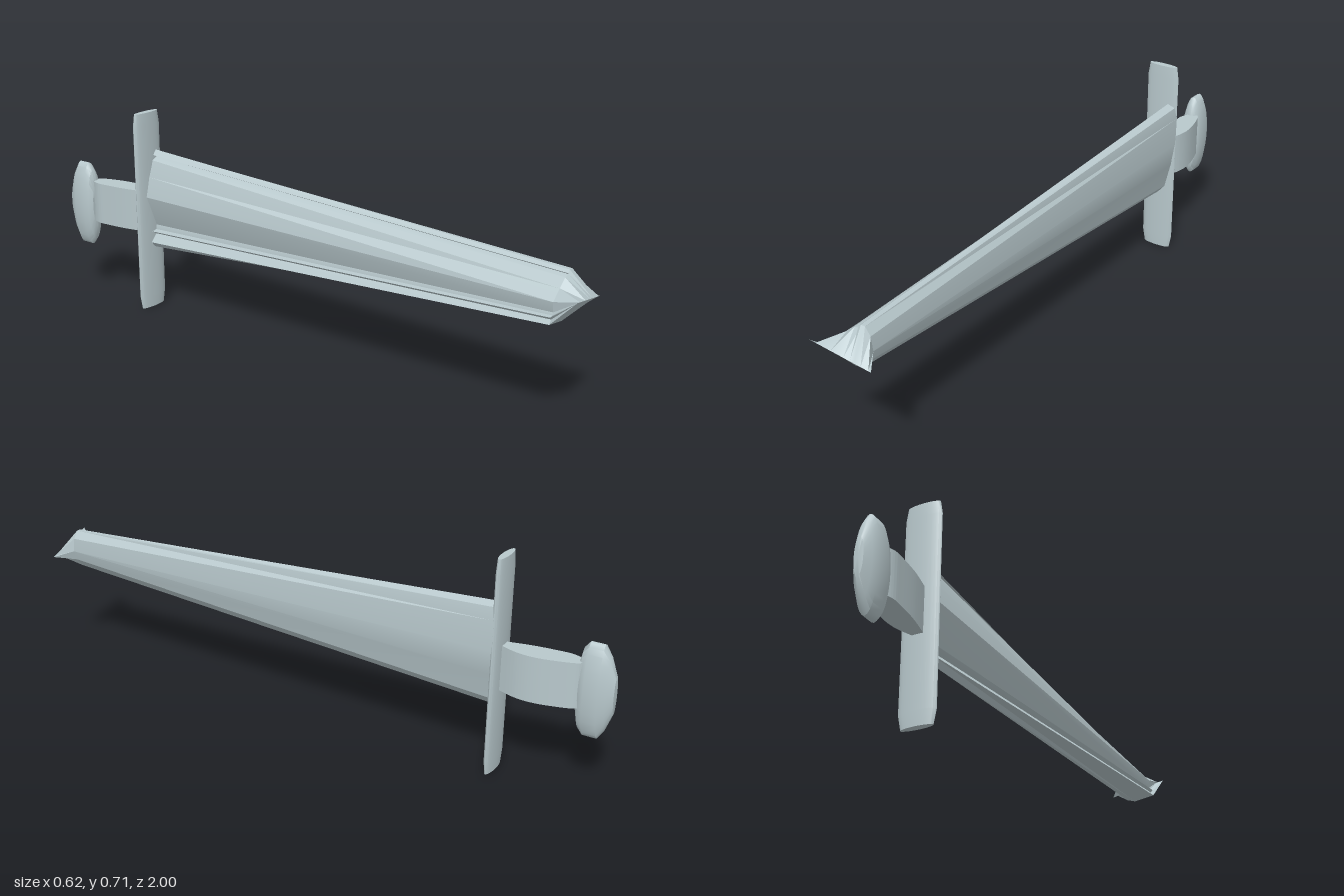
import * as THREE from 'three';
import { toCreasedNormals } from 'three/addons/utils/BufferGeometryUtils.js';

const V2 = (p) => new THREE.Vector2(p[0], p[1]);

// Open skin through matching rings of [x, y, z] points
function loft(rings) {
  const n = rings[0].length;
  const index = [];
  for (let r = 0; r < rings.length - 1; r++) {
    for (let i = 0; i < n; i++) {
      const a = r * n + i;
      const b = r * n + ((i + 1) % n);
      index.push(a, b, b + n, a, b + n, a + n);
    }
  }
  const g = new THREE.BufferGeometry();
  g.setAttribute('position', new THREE.Float32BufferAttribute(rings.flat(2), 3));
  g.setIndex(index);
  return g;
}

export function createModel() {
  const metal = new THREE.MeshStandardMaterial({ color: 0xb8c8cc, side: THREE.DoubleSide });
  metal.name = 'paleSteel';

  const model = new THREE.Group();
  model.name = 'sword';
  // Everything is built along local z, then swung about the guard
  const sword = new THREE.Group();
  sword.name = 'swordBody';
  sword.position.set(-0.18, 0, -0.66);
  sword.rotation.y = 0.22;
  model.add(sword);

  const add = (name, geometry, crease = 0.5) => {
    const mesh = new THREE.Mesh(toCreasedNormals(geometry, crease), metal);
    mesh.name = name;
    sword.add(mesh);
    return mesh;
  };

  // Blade sections: top, ridged and grooved side, bottom, convex side
  const root = [
    [0.055, 0.56], [0.03, 0.572], [0.015, 0.555], [0.035, 0.548], [0.012, 0.537], [-0.008, 0.48],
    [-0.024, 0.41], [0.02, 0.30], [0.018, 0.283], [-0.004, 0.28], [0.016, 0.268], [-0.008, 0.24],
    [0.006, 0.222], [0.03, 0.25], [0.05, 0.34], [0.06, 0.42], [0.062, 0.52],
  ];
  const end = [
    [0.06, 0.48], [0.045, 0.48], [0.035, 0.472], [0.04, 0.468], [0.02, 0.464], [-0.01, 0.44],
    [-0.045, 0.41], [-0.04, 0.378], [-0.043, 0.37], [-0.058, 0.368], [-0.05, 0.36], [-0.06, 0.347],
    [0.015, 0.335], [0.045, 0.345], [0.07, 0.375], [0.084, 0.41], [0.078, 0.455],
  ];
  const atZ = (section, z) => section.map(([x, y]) => [x, y, z]);
  add('blade', loft([atZ(root, 0), atZ(end, 1.6)]), 0.3);

  // Chisel tip: the end section closes onto a slanted edge
  const left = new THREE.Vector3(-0.069, 0.435, 1.685);
  const right = new THREE.Vector3(0.127, 0.39, 1.658);
  const edge = end.map(([x]) => left.clone().lerp(right, (x + 0.06) / 0.144).toArray());
  add('bladeTip', loft([atZ(end, 1.6), edge]), 0.4);

  // Guard: upright flattened bar with tapered ends
  const bar = [[0, 0], [0.052, 0], [0.061, 0.047], [0.061, 0.665], [0.054, 0.708], [0, 0.708]];
  const guard = new THREE.LatheGeometry(bar.map(V2), 24);
  guard.scale(1, 1, 0.23);
  add('guard', guard, 0.6);

  // Grip: lens outline extruded upward
  const outline = new THREE.Shape();
  outline.moveTo(-0.014, 0);
  outline.lineTo(0.014, 0);
  outline.splineThru([[0.038, 0.074], [0.038, 0.145], [0.014, 0.235], [-0.004, 0.26]].map(V2));
  outline.lineTo(-0.026, 0.26);
  outline.splineThru([[-0.043, 0.215], [-0.043, 0.174], [-0.034, 0.09], [-0.014, 0]].map(V2));
  const grip = new THREE.ExtrudeGeometry(outline, { depth: 0.147, bevelEnabled: false, curveSegments: 12 });
  grip.rotateX(-Math.PI / 2);
  grip.translate(0, 0.279, 0);
  add('grip', grip);

  // Pommel: flattened oval knob
  const knob = [[0, -0.356], [0.4, -0.354], [0.78, -0.333], [1, -0.312], [1, -0.268], [0.85, -0.25], [0.5, -0.239], [0, -0.239]];
  const pommel = new THREE.LatheGeometry(knob.map(V2), 28);
  pommel.rotateX(Math.PI / 2);
  pommel.scale(0.037, 0.153, 1);
  pommel.translate(-0.026, 0.336, 0);
  add('pommel', pommel, 0.6);

  return model;
}
